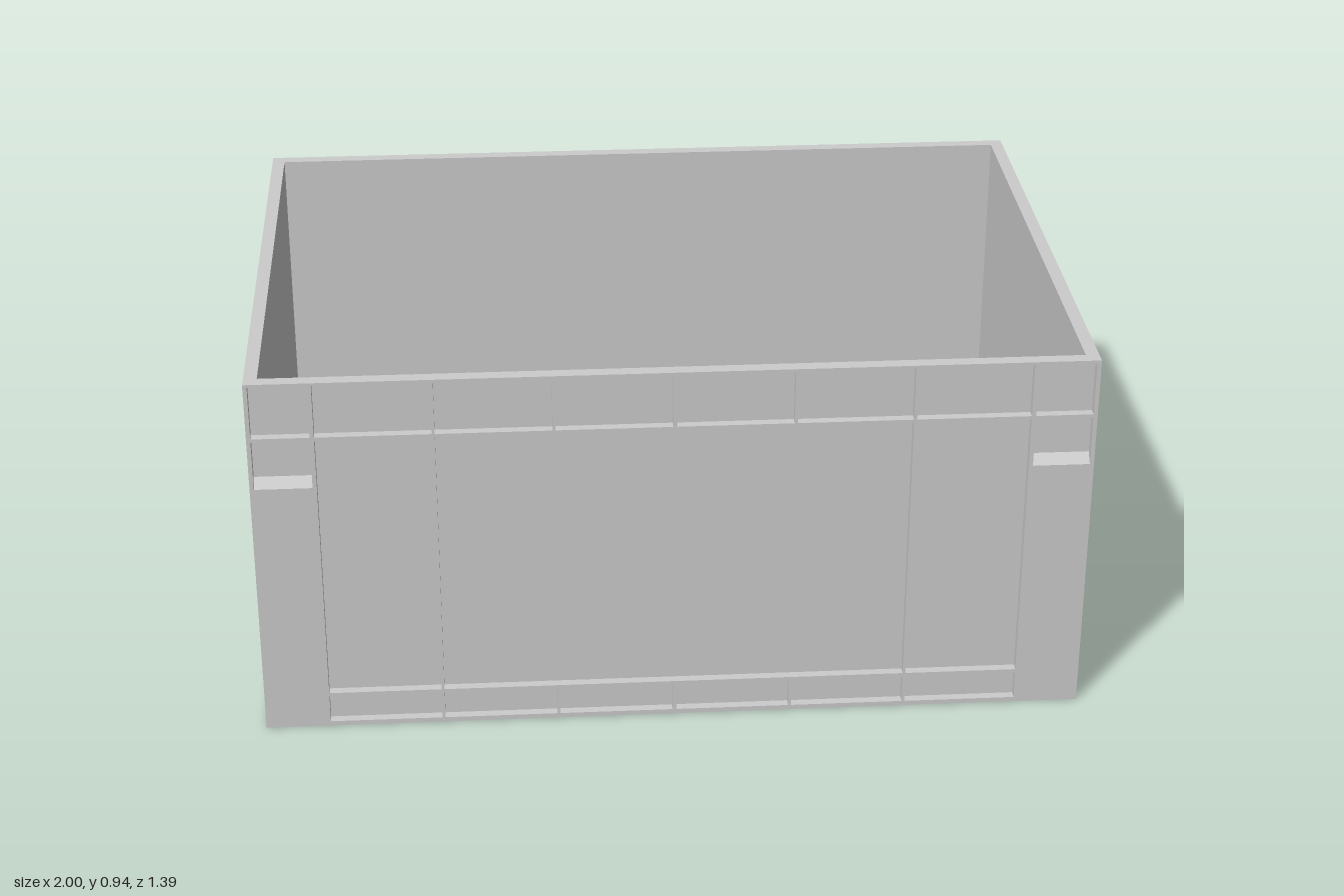
import * as THREE from 'three';

const X = 1, Z = 0.6975, H = 0.935; // outer half sizes and height
const WALL = 0.032, DEPTH = 0.022; // wall thickness, depth of the recesses
const mat = new THREE.MeshStandardMaterial({ color: 0xcccccc, flatShading: true });

function rect(Type, x0, y0, x1, y1) {
  const p = new Type();
  p.moveTo(x0, y0);
  p.lineTo(x1, y0);
  p.lineTo(x1, y1);
  p.lineTo(x0, y1);
  p.closePath();
  return p;
}

function addMesh(parent, geometry, name) {
  const m = new THREE.Mesh(geometry, mat);
  m.name = name;
  parent.add(m);
  return m;
}

// One outer side: a slab whose openings leave the ribs standing, facing +z
function ribbedSide(name, halfWidth, cells, pocket) {
  const side = new THREE.Group();
  side.name = name;
  const shape = rect(THREE.Shape, -halfWidth, 0, halfWidth, H);
  for (const [a, b, y0, y1] of cells) {
    shape.holes.push(rect(THREE.Path, a, y0, b, y1));
    if (a > -b) shape.holes.push(rect(THREE.Path, -b, y0, -a, y1));
  }
  addMesh(side, new THREE.ExtrudeGeometry(shape, { depth: DEPTH, bevelEnabled: false }), name + 'Ribs');

  // Sloped ledge at the foot of each corner pocket
  const [a, b, y0] = pocket;
  const profile = new THREE.Shape();
  profile.moveTo(0, y0);
  profile.lineTo(0, y0 + 0.023);
  profile.lineTo(-DEPTH, y0);
  profile.closePath();
  for (const start of [a, -b]) {
    const g = new THREE.ExtrudeGeometry(profile, { depth: b - a, bevelEnabled: false });
    g.rotateY(Math.PI / 2); // profile -x becomes +z, extrusion becomes +x
    addMesh(side, g, 'pocketLedge').position.x = start;
  }
  return side;
}

export function createModel() {
  const model = new THREE.Group();
  model.name = 'storageCrate';

  // Smooth inner tub: a ring of walls and the floor
  const ring = rect(THREE.Shape, -X + DEPTH, -Z + DEPTH, X - DEPTH, Z - DEPTH);
  ring.holes.push(rect(THREE.Path, -X + WALL, -Z + WALL, X - WALL, Z - WALL));
  const walls = new THREE.ExtrudeGeometry(ring, { depth: H, bevelEnabled: false });
  walls.rotateX(-Math.PI / 2);
  addMesh(model, walls, 'innerWalls');
  const floor = new THREE.BoxGeometry(2 * (X - WALL), 0.03, 2 * (Z - WALL));
  addMesh(model, floor, 'floor').position.y = 0.015;

  // Long sides: top row, tall panels, bottom row, corner pockets
  const longCols = [[0.005, 0.281], [0.288, 0.563], [0.57, 0.843]];
  const longPocket = [0.853, 0.99, 0.661];
  const longCells = [
    ...[...longCols, [0.853, 0.99]].map(c => [...c, 0.794, 0.928]),
    ...longCols.map(c => [...c, 0.012, 0.083]),
    [-0.563, 0.563, 0.093, 0.785],
    [0.57, 0.843, 0.093, 0.785],
    [...longPocket, 0.785],
  ];

  // Short sides: the same scheme with four columns per half
  const shortCols = [[0.005, 0.211], [0.224, 0.36], [0.371, 0.508], [0.517, 0.652]];
  const shortPocket = [0.517, 0.652, 0.661];
  const shortCells = [
    ...shortCols.map(c => [...c, 0.794, 0.928]),
    ...shortCols.map(c => [...c, 0.021, 0.082]),
    [-0.36, 0.36, 0.09, 0.786],
    [0.371, 0.508, 0.09, 0.786],
    [...shortPocket, 0.786],
  ];

  for (const s of [1, -1]) {
    const long = ribbedSide(s > 0 ? 'frontSide' : 'backSide', X, longCells, longPocket);
    long.position.z = s * (Z - DEPTH);
    long.rotation.y = s > 0 ? 0 : Math.PI;
    const short = ribbedSide(s > 0 ? 'leftSide' : 'rightSide', Z - DEPTH, shortCells, shortPocket);
    short.position.x = s * (X - DEPTH);
    short.rotation.y = s * Math.PI / 2;
    model.add(long, short);
  }
  return model;
}
